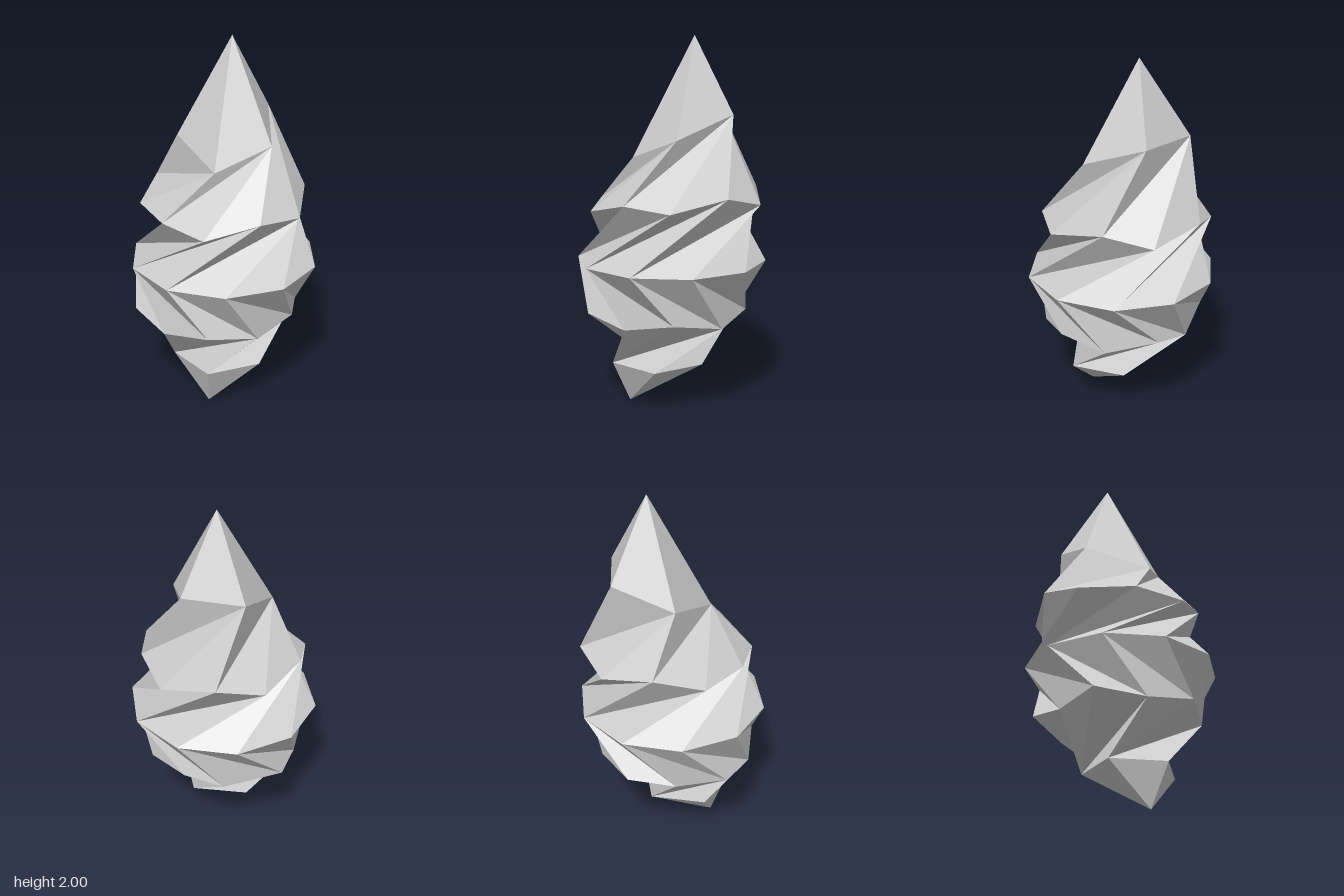
import * as THREE from 'three';

// Regular ring of points at height y, angles running from +x towards +z
function ring(n, r, startDeg, y, cx = 0, cz = 0) {
  return Array.from({ length: n }, (_, k) => {
    const a = THREE.MathUtils.degToRad(startDeg + (360 / n) * k);
    return [cx + r * Math.cos(a), y, cz + r * Math.sin(a)];
  });
}

// Alternate the points of two rings of five
const weave = (p, q) => p.flatMap((v, i) => [v, q[i]]);

export function createModel() {
  // Cross-sections of the twisted crystal, top to bottom
  const tip = [0, 2, -0.135];
  const crown = [
    [0.27, 1.47, 0], [0.03, 1.36, 0.2], [-0.26, 1.47, 0],
    [-0.19, 1.59, -0.32], [0.14, 1.59, -0.32],
  ];
  const shoulder = weave(
    [[0.06, 1.08, 0.43], [-0.42, 1.11, 0.15], [-0.31, 1.12, -0.38],
      [0.22, 1.12, -0.455], [0.45, 1.12, 0.06]],
    [[-0.2, 1.11, 0.355], [-0.44, 1.18, -0.12], [-0.08, 1.18, -0.495],
      [0.38, 1.18, -0.25], [0.31, 1.145, 0.28]],
  );
  const waist = ring(10, 0.514, 140, 0.8, 0, -0.01);
  const belly = weave(
    [[-0.18, 0.49, 0.41], [-0.407, 0.49, 0], [-0.1, 0.49, -0.4],
      [0.35, 0.49, -0.23], [0.305, 0.49, 0.28]],
    ring(5, 0.45, 146, 0.53, -0.035, 0.02),
  );
  const foot = ring(5, 0.257, 156, 0.23, 0.007, 0.062);
  const base = [0, 0, 0.22];

  const positions = [];
  const tri = (a, b, c) => positions.push(...a, ...b, ...c);
  const at = (r, k) => r[(k + r.length) % r.length];

  // Pointed ends and the bands that widen from five to ten points
  for (let i = 0; i < 5; i++) {
    const a = crown[i], a1 = at(crown, i + 1);
    tri(tip, a1, a);
    tri(a, shoulder[2 * i], at(shoulder, 2 * i - 1));
    tri(a, shoulder[2 * i + 1], shoulder[2 * i]);
    tri(a, a1, shoulder[2 * i + 1]);

    const d = foot[i], d1 = at(foot, i + 1);
    tri(d, at(belly, 2 * i - 2), at(belly, 2 * i - 1));
    tri(d, at(belly, 2 * i - 1), belly[2 * i]);
    tri(belly[2 * i], d1, d);
    tri(base, d, d1);
  }

  // Zigzag bands above and below the waist
  for (let k = 0; k < 10; k++) {
    const e = waist[k], e1 = at(waist, k + 1);
    tri(shoulder[k], e1, e);
    tri(shoulder[k], at(shoulder, k + 1), e1);
    tri(e, e1, belly[k]);
    tri(e1, at(belly, k + 1), belly[k]);
  }

  const geometry = new THREE.BufferGeometry();
  geometry.setAttribute('position', new THREE.Float32BufferAttribute(positions, 3));
  geometry.computeVertexNormals();

  const crystal = new THREE.Mesh(
    geometry,
    new THREE.MeshStandardMaterial({ color: 0xcccccc, flatShading: true }),
  );
  crystal.name = 'twistedCrystal';

  const model = new THREE.Group();
  model.name = 'crystal';
  model.add(crystal);
  return model;
}
